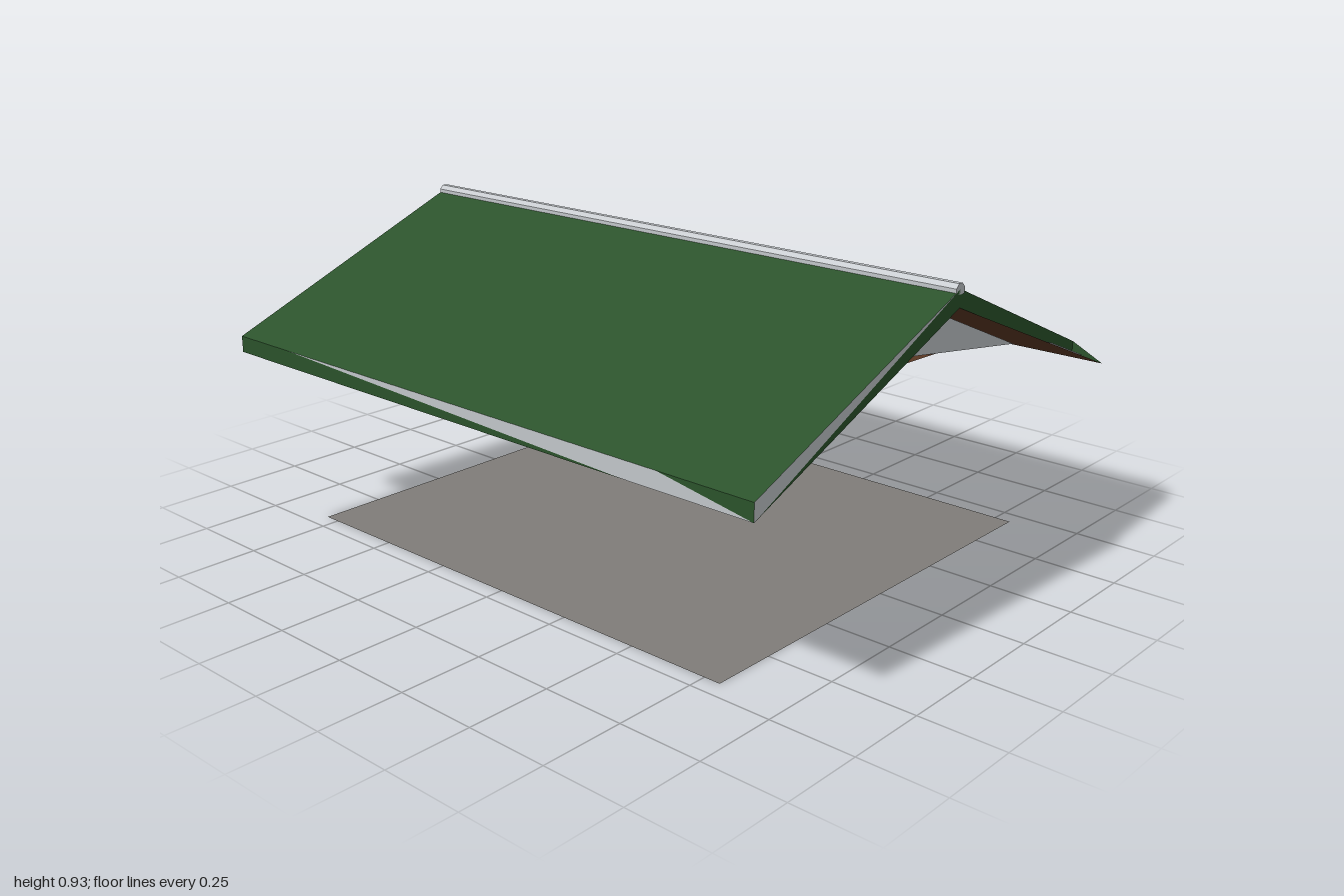
import * as THREE from 'three';

const paint = (name, color) => {
  const m = new THREE.MeshStandardMaterial({ color, side: THREE.DoubleSide });
  m.name = name;
  return m;
};

// Flat polygon from corner points, fanned from the first corner
function face(parent, name, mat, ...pts) {
  const pos = [];
  for (let i = 1; i < pts.length - 1; i++) pos.push(...pts[0], ...pts[i], ...pts[i + 1]);
  const geo = new THREE.BufferGeometry();
  geo.setAttribute('position', new THREE.Float32BufferAttribute(pos, 3));
  geo.computeVertexNormals();
  const mesh = new THREE.Mesh(geo, mat);
  mesh.name = name;
  parent.add(mesh);
  return mesh;
}

// Folded sheet: a [z, y] profile swept between two x positions
function sheet(parent, name, mat, profile, x0, x1) {
  for (let i = 0; i < profile.length - 1; i++) {
    const [za, ya] = profile[i], [zb, yb] = profile[i + 1];
    face(parent, name, mat, [x0, ya, za], [x0, yb, zb], [x1, yb, zb], [x1, ya, za]);
  }
}

export function createModel() {
  const green = paint('roof green', 0x2a522a);
  const brown = paint('timber brown', 0x5a3824);
  const grey = paint('trim grey', 0xc2c6ca);
  const floorGrey = paint('floor grey', 0x7f7c79);

  const model = new THREE.Group();
  model.name = 'gableRoof';

  const W = 1, D = 0.82;                 // half length and half depth
  const ridge = 0.91, ridgeIn = 0.86;    // outer and inner ridge heights
  const eave = 0.575, eaveIn = 0.525;    // outer and inner eave heights

  // Floor
  const floor = new THREE.Mesh(new THREE.PlaneGeometry(1.6, 1.39), floorGrey);
  floor.rotation.x = -Math.PI / 2;
  floor.name = 'floor';
  model.add(floor);

  // Roof covering; the back slope is cut on a slant at its left end
  face(model, 'frontSlope', green, [-W, ridge, 0], [-W, eave, D], [W, eave, D], [W, ridge, 0]);
  face(model, 'backSlope', green, [W, ridge, 0], [0.9, eave, -D], [-W, eave, -D], [-W, ridge, 0]);

  // Timber underside
  sheet(model, 'roofUnderside', brown, [[-D, eaveIn], [0, ridgeIn], [D, eaveIn]], -W, W);

  // Pale patch on the exposed timber beside the slanted cut
  const deckY = (z) => ridgeIn - (ridgeIn - eaveIn) * Math.abs(z) / D + 0.003;
  face(model, 'exposedPatch', grey,
    [0.85, deckY(0.5), -0.5], [W, deckY(0.5), -0.5], [W, deckY(0.7), -0.7], [0.85, deckY(0.7), -0.7]);

  // Front eave edge: grey wedge between green ends
  face(model, 'frontEaveTrim', grey,
    [-0.77, eave, D], [0.6, eaveIn, D], [W, eaveIn, D], [0.7, eave, D]);
  face(model, 'frontEaveEdge', green,
    [-W, eave, D], [-W, eaveIn, D], [0.6, eaveIn, D], [-0.77, eave, D]);
  face(model, 'frontEaveEdge', green, [0.7, eave, D], [W, eaveIn, D], [W, eave, D]);

  // Back eave edge
  face(model, 'backEaveTrim', grey, [W, eaveIn, -D], [-W, eaveIn, -D], [-0.85, eave, -D]);
  face(model, 'backEaveEdge', green, [W, eaveIn, -D], [-0.85, eave, -D], [0.9, eave, -D]);
  face(model, 'backEaveEdge', green, [-0.85, eave, -D], [-W, eaveIn, -D], [-W, eave, -D]);

  // Verge at the left end
  face(model, 'leftVergeTrim', grey, [W, ridge, 0], [W, eaveIn, D], [W, eave, D]);
  face(model, 'leftVerge', green, [W, ridge, 0], [W, ridgeIn, 0], [W, eaveIn, D]);
  face(model, 'leftVerge', green,
    [W, ridge, 0], [0.9, eave, -D], [0.9, eaveIn, -D], [W, ridgeIn, 0]);

  // Verge at the right end
  face(model, 'rightVerge', green,
    [-W, ridge, 0], [-W, ridgeIn, 0], [-W, eaveIn, D], [-W, eave, D]);
  face(model, 'rightVerge', green, [-W, ridge, 0], [-W, eave, -D], [-W, ridgeIn, 0]);
  face(model, 'rightVergeTimber', brown, [-W, ridgeIn, 0], [-W, eave, -D], [-W, eaveIn, -D]);

  // Ridge cap: slim bar with chamfered top
  const cap = new THREE.Shape([[-0.02, 0.895], [0.02, 0.895], [0.02, 0.913], [0.008, 0.925],
    [-0.008, 0.925], [-0.02, 0.913]].map(([a, b]) => new THREE.Vector2(a, b)));
  const capMesh = new THREE.Mesh(
    new THREE.ExtrudeGeometry(cap, { depth: 2 * W, bevelEnabled: false }), grey);
  capMesh.rotation.y = Math.PI / 2;
  capMesh.position.x = -W;
  capMesh.name = 'ridgeCap';
  model.add(capMesh);

  // Gable boards, one half per slope at each end
  const gx = 0.79, gz = 0.66;
  for (const x of [-gx, gx]) {
    for (const s of [-1, 1]) {
      face(model, 'gableBoard', grey, [x, ridgeIn, 0], [x, 0.68, 0], [x, 0.58, s * gz]);
    }
  }

  // Wall plates under the eaves
  for (const s of [-1, 1]) {
    sheet(model, 'wallPlate', grey, [[s * gz, 0.58], [s * 0.43, 0.615]], -gx, gx);
  }

  // Ceiling with a flattened middle
  sheet(model, 'ceiling', brown,
    [[-0.43, 0.615], [-0.24, 0.644], [0.15, 0.657], [0.43, 0.615]], -gx, gx);

  return model;
}
